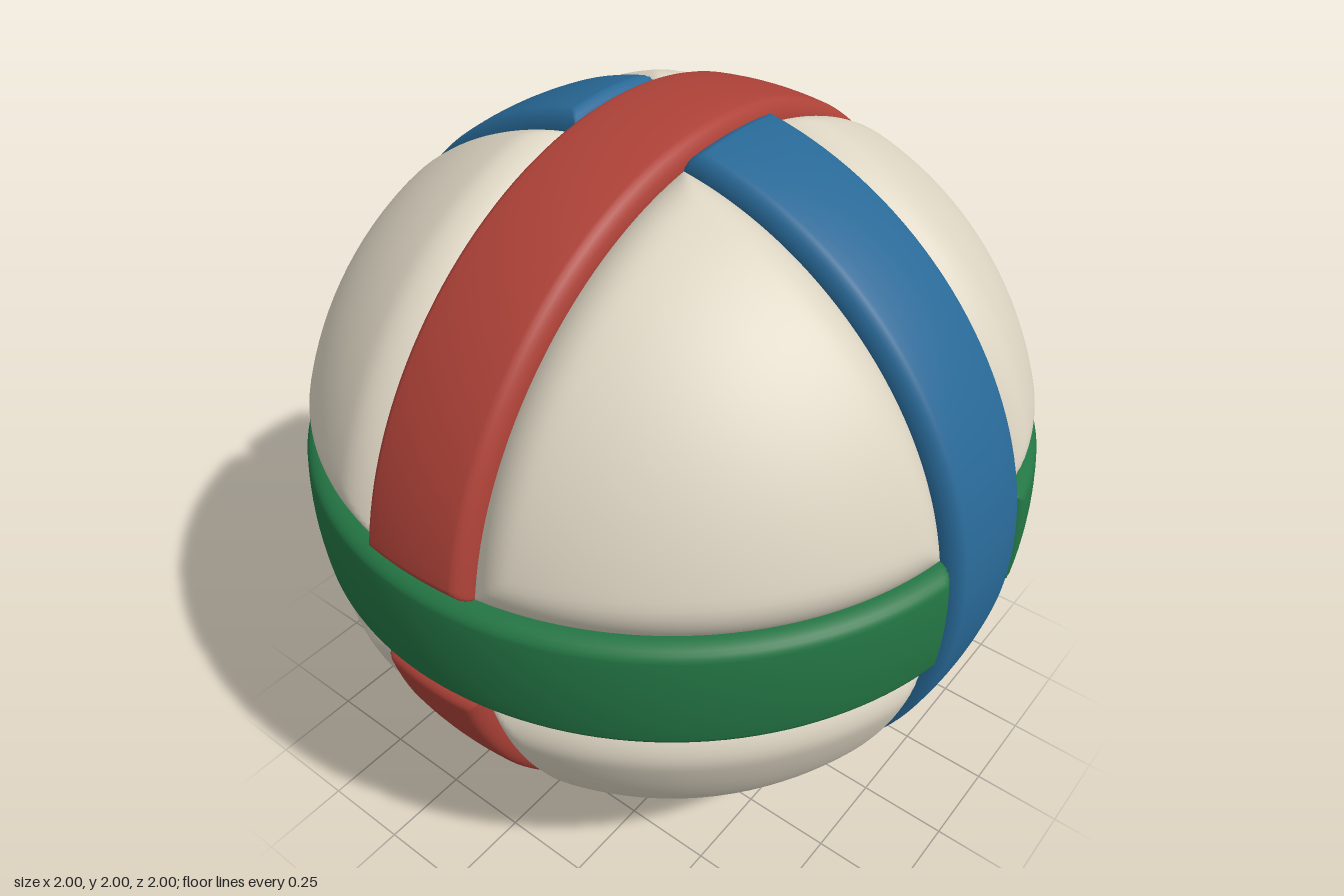
import * as THREE from 'three';

const HALF = 0.161;      // half width of a band
const WALL = 0.88;       // radius where band walls end, below the surface

function meshGeometry(positions, index) {
  const g = new THREE.BufferGeometry();
  g.setAttribute('position', new THREE.Float32BufferAttribute(positions, 3));
  g.setIndex(index);
  g.computeVertexNormals();
  return g;
}

// Samples [offset, radius] over -half..half: wall, rounded shoulder, top, shoulder, wall
function profile(half, steps) {
  const round = 0.035, depth = 0.05, edge = [[-half, WALL]];
  for (let k = 0; k <= 6; k++) {
    const a = (k / 6) * Math.PI / 2;
    edge.push([-half + round * (1 - Math.cos(a)), 1 - depth * (1 - Math.sin(a))]);
  }
  const top = [];
  for (let k = 1; k < steps; k++) top.push([(half - round) * (2 * k / steps - 1), 1]);
  return [...edge, ...top, ...edge.map(([o, r]) => [-o, r]).reverse()];
}

// Nearly half a hoop, arching over +z, with all four edges rounded
function stripGeometry() {
  const across = profile(HALF, 8), along = profile(Math.PI / 2 - 0.172, 72);
  const pos = [], index = [], n = across.length;
  along.forEach(([t, rt], j) => across.forEach(([x, rx], i) => {
    const r = Math.min(rt, rx), q = Math.sqrt(r * r - x * x);
    pos.push(x, q * Math.sin(t), q * Math.cos(t));
    if (i < n - 1 && j < along.length - 1) {
      const a = j * n + i;
      index.push(a, a + 1, a + n + 1, a, a + n + 1, a + n);
    }
  }));
  return meshGeometry(pos, index);
}

// Spherical triangle filling one octant, its borders sloping down to the bands
function panelGeometry() {
  const N = 56, a = 0.163, bevel = 0.11, depth = 0.055;
  const pos = [], index = [], id = (i, j) => j * (N + 1) - j * (j - 1) / 2 + i;
  for (let j = 0; j <= N; j++) for (let i = 0; i <= N - j; i++) {
    const w = [i, j, N - i - j].map(v => Math.pow(v / N, 1.5));
    // scale the weights so that (a,a,a) + s*w lies on the unit sphere
    const A = w[0] ** 2 + w[1] ** 2 + w[2] ** 2, B = a * (w[0] + w[1] + w[2]), C = 3 * a * a - 1;
    const s = (-B + Math.sqrt(B * B - A * C)) / A;
    const d = Math.min(1, s * Math.min(...w) / bevel);
    const r = 1 - depth * (1 - d) ** 2;
    pos.push(...w.map(v => (a + s * v) * r));
    if (i + j < N) index.push(id(i, j), id(i + 1, j), id(i, j + 1));
    if (i + j < N - 1) index.push(id(i + 1, j), id(i + 1, j + 1), id(i, j + 1));
  }
  return meshGeometry(pos, index);
}

export function createModel() {
  const model = new THREE.Group();
  model.name = 'wovenBall';
  const ball = new THREE.Group();
  ball.name = 'ball';
  ball.position.y = 1;
  model.add(ball);
  const cream = new THREE.MeshStandardMaterial({ color: 0xdcd4c2 });

  // Eight cream panels
  const panel = panelGeometry();
  for (let k = 0; k < 8; k++) {
    const m = new THREE.Mesh(panel, cream);
    m.name = 'panel' + (k + 1);
    m.rotation.set(k < 4 ? 0 : Math.PI, (k % 4) * Math.PI / 2, 0);
    ball.add(m);
  }

  // Three interlaced bands, each turned a third of the way round the diagonal
  const strip = stripGeometry(), diagonal = new THREE.Vector3(1, 1, 1).normalize();
  [['blueBand', 0x286896], ['greenBand', 0x237544], ['redBand', 0xae4238]].forEach(([name, color], k) => {
    const band = new THREE.Group(), material = new THREE.MeshStandardMaterial({ color });
    band.name = name;
    for (const side of [0, 1]) {
      const m = new THREE.Mesh(strip, material);
      m.name = name + (side ? 'Back' : 'Front');
      m.rotation.x = side * Math.PI;
      band.add(m);
    }
    band.quaternion.setFromAxisAngle(diagonal, k * 2 * Math.PI / 3);
    ball.add(band);
  });

  // Inner core closing the seams
  const core = new THREE.Mesh(new THREE.SphereGeometry(0.92, 64, 40), cream);
  core.name = 'core';
  ball.add(core);
  return model;
}
